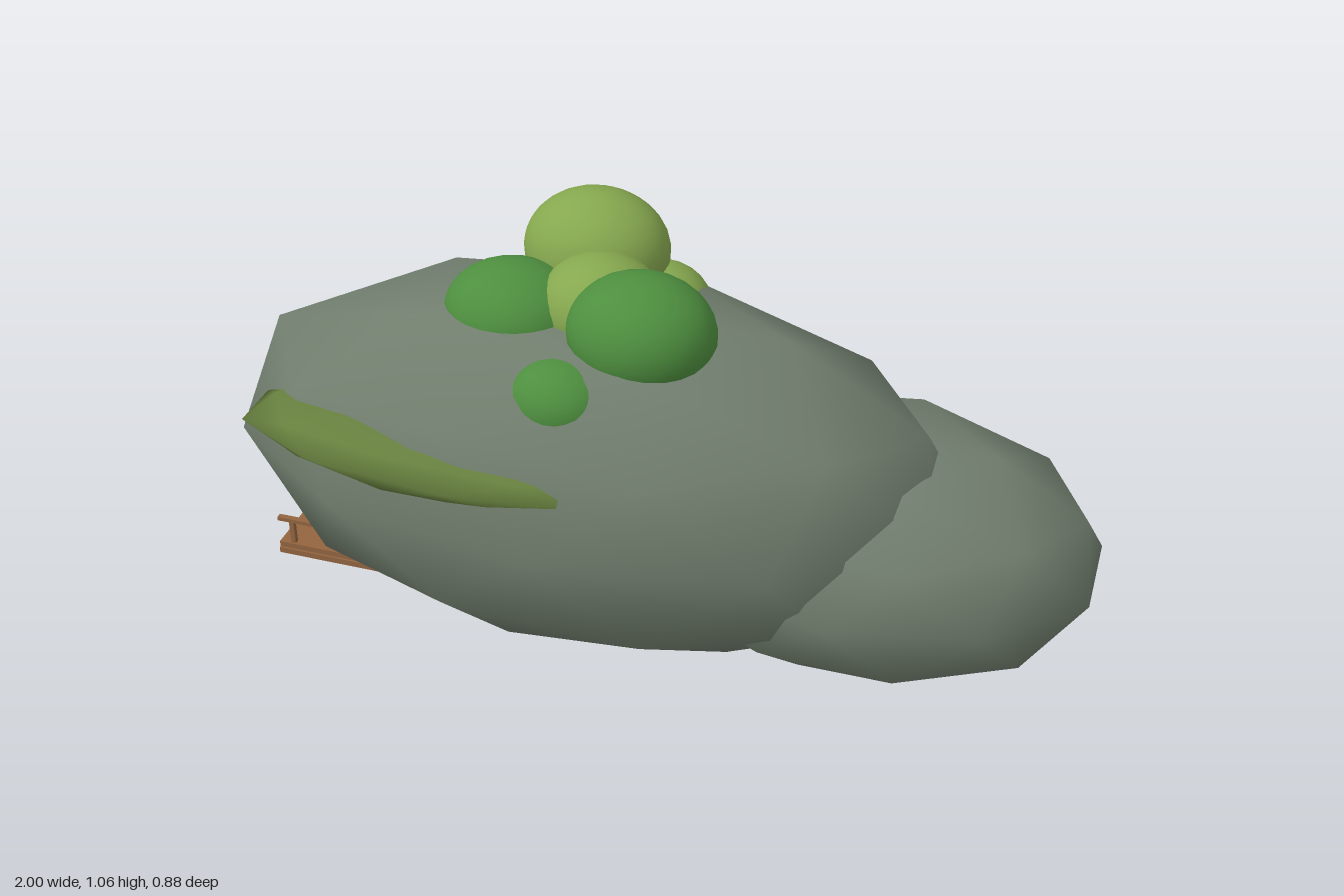
import * as THREE from 'three';
import { mergeVertices } from 'three/addons/utils/BufferGeometryUtils.js';

const mat = (name, color) => {
  const m = new THREE.MeshStandardMaterial({ color });
  m.name = name;
  return m;
};

// Smooth-shaded icosphere standing on a corner, scaled to the given radii.
// nudges: [unit direction, final position] pairs for single corners.
function blob(detail, radii, nudges = []) {
  let g = new THREE.IcosahedronGeometry(1, detail);
  g.deleteAttribute('normal');
  g.deleteAttribute('uv');
  g = mergeVertices(g, 1e-3);
  g.rotateX(-Math.atan((1 + Math.sqrt(5)) / 2));
  g.rotateY(Math.PI / 2);
  const p = g.attributes.position;
  const r = new THREE.Vector3(...radii);
  const v = new THREE.Vector3();
  for (let i = 0; i < p.count; i++) {
    v.fromBufferAttribute(p, i);
    const hit = nudges.find(([d]) => v.distanceTo(new THREE.Vector3(...d)) < 0.05);
    if (hit) v.set(...hit[1]);
    else v.multiply(r);
    p.setXYZ(i, v.x, v.y, v.z);
  }
  g.computeVertexNormals();
  return g;
}

export function createModel() {
  const model = new THREE.Group();
  model.name = 'mossyBoulders';
  const stone = mat('stone', 0x717e6e);
  const moss = mat('moss', 0x667f3e);
  const lightLeaf = mat('lightLeaf', 0x86a84f);
  const darkLeaf = mat('darkLeaf', 0x4e8f3f);
  const wood = mat('wood', 0x936540);
  const add = (name, geo, material, [x, y, z], parent = model) => {
    const m = new THREE.Mesh(geo, material);
    m.name = name;
    m.position.set(x, y, z);
    parent.add(m);
  };

  // Boulders, slightly flattened on top
  add('largeBoulder', blob(1, [0.873, 0.46, 0.44], [
    [[0, 1, 0], [0.1, 0.408, 0]],
    [[-0.851, 0.526, 0], [-0.775, 0.242, 0]],
    [[-0.894, -0.447, 0], [-0.795, -0.2, 0]],
    [[-0.526, -0.851, 0], [-0.45, -0.36, 0]],
  ]), stone, [-0.17, 0.46, 0]);
  add('smallBoulder', blob(1, [0.567, 0.315, 0.378], [
    [[0, 1, 0], [0, 0.293, 0]],
  ]), stone, [0.46, 0.33, -0.067]);

  // Long patch of moss on the front flank
  add('mossPatch', blob(1, [0.578, 0.086, 0.205]), moss, [-0.36, 0.593, 0.22]);

  // Bushes on top: centre, radii, material
  const bushes = new THREE.Group();
  bushes.name = 'bushes';
  model.add(bushes);
  [
    [[-0.205, 0.918, -0.165], [0.17, 0.14, 0.145], lightLeaf],
    [[-0.055, 0.79, -0.165], [0.12, 0.105, 0.12], lightLeaf],
    [[-0.14, 0.87, -0.005], [0.14, 0.115, 0.13], lightLeaf],
    [[-0.017, 0.872, 0.09], [0.167, 0.133, 0.145], darkLeaf],
    [[-0.337, 0.832, 0.02], [0.163, 0.118, 0.14], darkLeaf],
    [[-0.16, 0.75, 0.215], [0.12, 0.095, 0.1], darkLeaf],
  ].forEach(([c, r, m]) => add('bush', blob(4, r), m, c, bushes));

  // Wooden walkway passing under the large boulder
  const walkway = new THREE.Group();
  walkway.name = 'walkway';
  model.add(walkway);
  const bar = (name, w, h, d, ...at) => add(name, new THREE.BoxGeometry(w, h, d), wood, at, walkway);
  bar('deck', 1.2, 0.016, 0.32, -0.33, 0.146, 0);
  for (const s of [-1, 1]) {
    bar('sideBeam', 1.2, 0.015, 0.022, -0.33, 0.132, s * 0.154);
    bar('handrail', 1.14, 0.01, 0.014, -0.36, 0.22, s * 0.15);
    for (let i = 0; i < 5; i++) bar('railPost', 0.012, 0.065, 0.012, -0.895 + i * 0.26, 0.185, s * 0.15);
  }
  return model;
}
